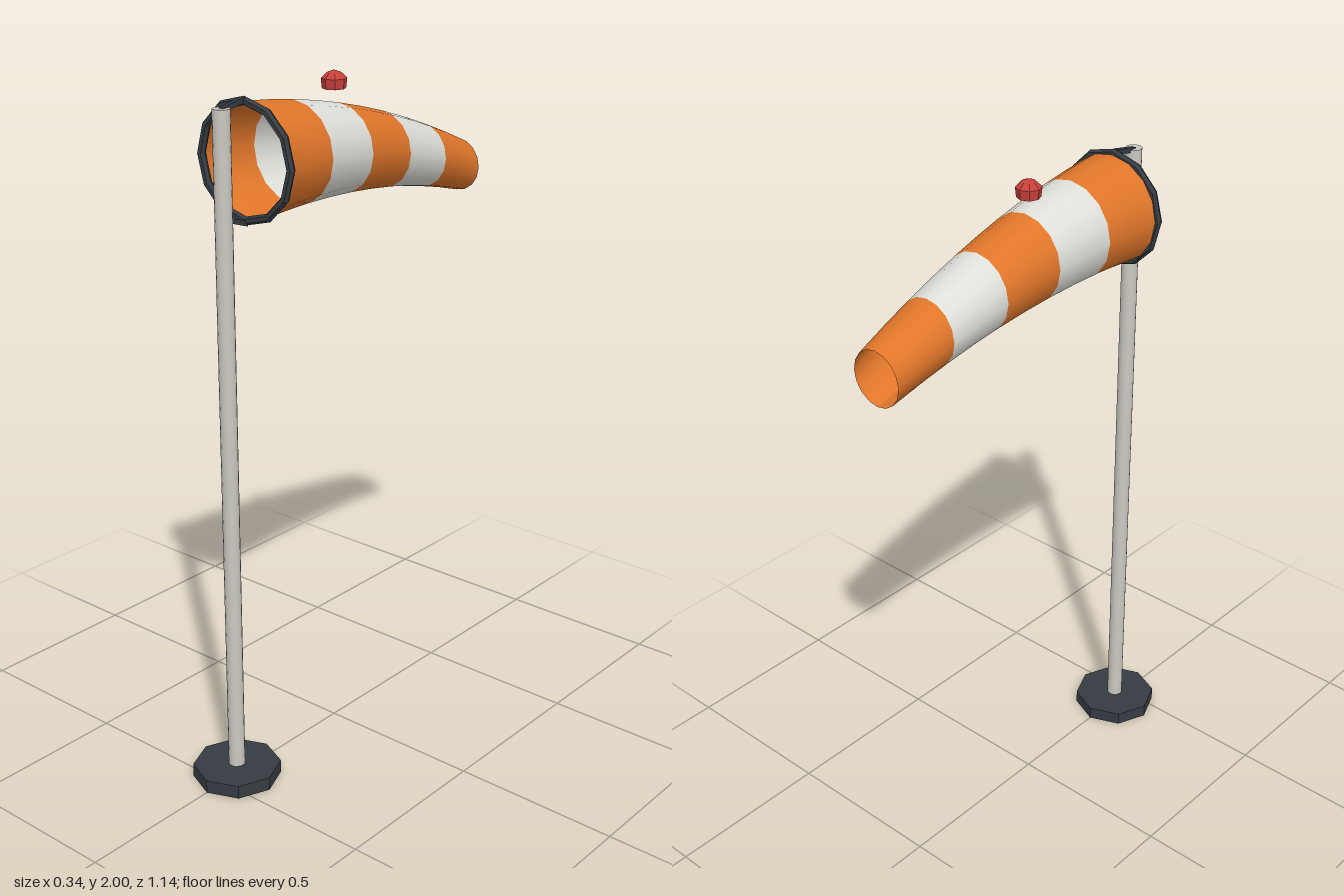
import * as THREE from 'three';

const paint = (name, color, extra = {}) => {
  const m = new THREE.MeshStandardMaterial({ color, ...extra });
  m.name = name;
  return m;
};

export function createModel() {
  const model = new THREE.Group();
  model.name = 'windsock';

  const orange = paint('orange fabric', 0xe0762a, { side: THREE.DoubleSide });
  const white = paint('white fabric', 0xdedfd9, { side: THREE.DoubleSide });
  const steel = paint('pole grey', 0xcbc9c1);
  const dark = paint('dark metal', 0x363c43, { flatShading: true });
  const red = paint('red lamp', 0xc8403a, { flatShading: true });

  const add = (name, geometry, material, x = 0, y = 0, z = 0) => {
    const mesh = new THREE.Mesh(geometry, material);
    mesh.name = name;
    mesh.position.set(x, y, z);
    model.add(mesh);
    return mesh;
  };

  const poleZ = 0.44, ringZ = 0.355, ringY = 1.81;

  // Foot and pole
  add('base', new THREE.CylinderGeometry(0.128, 0.128, 0.04, 8), dark, 0, 0.02, poleZ);
  add('pole', new THREE.CylinderGeometry(0.024, 0.024, 1.92, 16), steel, 0, 1.0, poleZ);

  // Mouth ring
  add('mouthRing', new THREE.TorusGeometry(0.158, 0.012, 6, 12), dark, 0, ringY, ringZ);

  // Struts from the pole to the top and bottom of the ring
  for (const [name, yPole, yRing] of [['upperStrut', 1.955, 1.972], ['lowerStrut', 1.673, 1.645]]) {
    const dy = yRing - yPole, dz = poleZ - ringZ;
    const strut = add(name, new THREE.BoxGeometry(0.014, 0.014, Math.hypot(dy, dz)), dark,
      0, (yPole + yRing) / 2, (poleZ + ringZ) / 2);
    strut.rotation.x = Math.atan2(dy, dz);
  }

  // Fabric sleeve: a tapering tube that droops towards its tail, in five bands
  const sides = 16, bands = 5, rowsPerBand = 2;
  const sleeve = new THREE.PlaneGeometry(1, 1, sides, bands * rowsPerBand);
  const p = sleeve.attributes.position;
  for (let i = 0; i < p.count; i++) {
    const a = (p.getX(i) + 0.5) * Math.PI * 2 - Math.PI / 2;
    const t = 0.5 - p.getY(i);
    const r = 0.157 - 0.078 * t;
    p.setXYZ(i, Math.cos(a) * r, ringY - 0.167 * t * t + Math.sin(a) * r, ringZ - 0.93 * t);
  }
  sleeve.computeVertexNormals();
  const perBand = sides * rowsPerBand * 6;
  for (let b = 0; b < bands; b++) sleeve.addGroup(b * perBand, perBand, b % 2);
  add('sleeve', sleeve, [orange, white]);

  // Warning lamp
  const lamp = [[0, 1.95], [0.033, 1.95], [0.036, 1.978], [0.02, 1.993], [0, 2]];
  add('warningLamp', new THREE.LatheGeometry(lamp.map(([x, y]) => new THREE.Vector2(x, y)), 8), red);

  return model;
}
